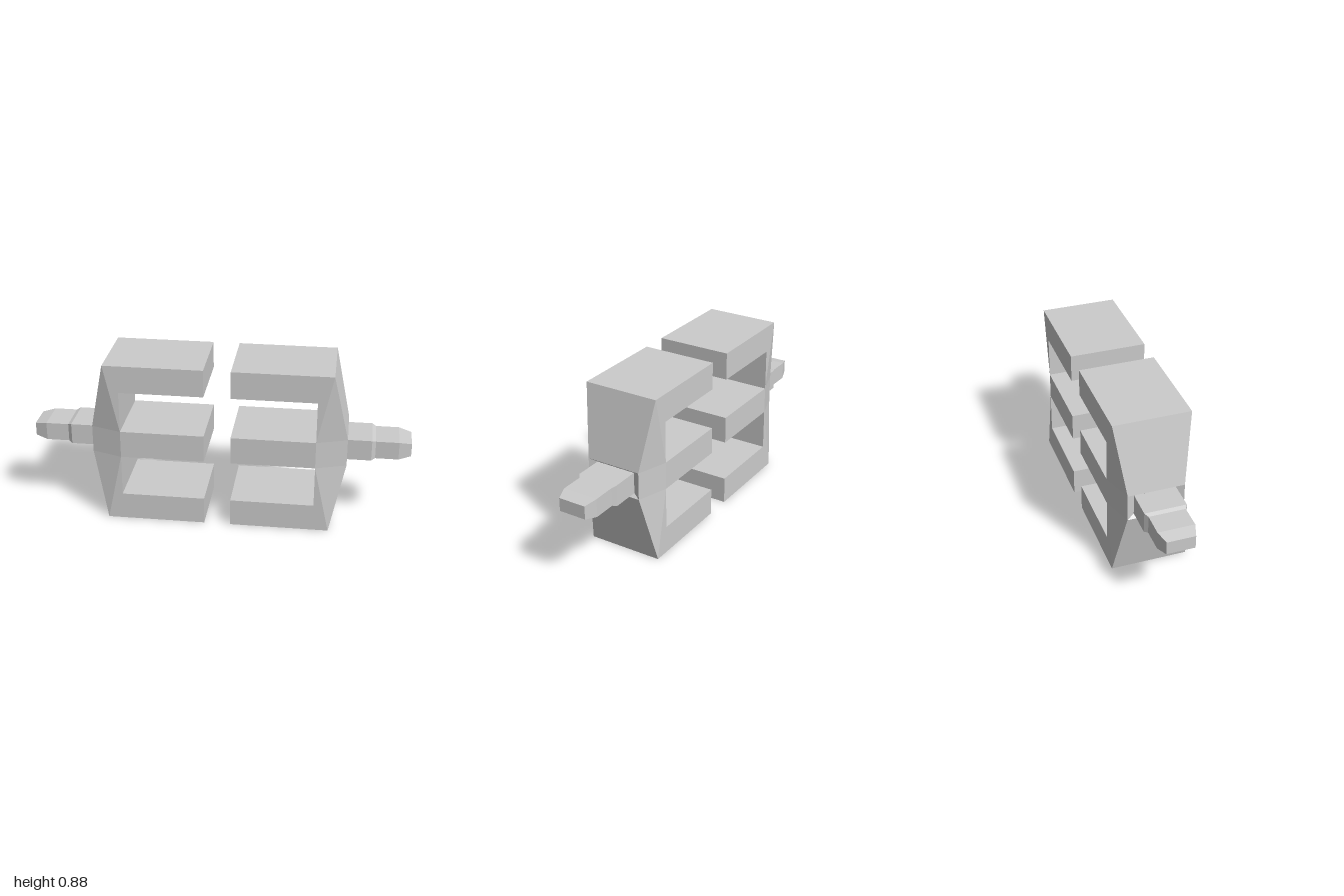
import * as THREE from 'three';

const material = new THREE.MeshStandardMaterial({ color: 0xcccccc, flatShading: true });

const MID = 0.441;              // height of the symmetry plane
const H = 0.441, W = 0.2;       // half height and half depth of the body
const h = 0.073, n = 0.147;     // half height and half depth of the spine's outer face
const GAP = 0.07, INNER = 0.51, EDGE = 0.59, OUTER = 0.67;

// Mirrors convex faces of a quarter (y > 0, z > 0) over both planes
function mirrorQuarter(name, faces) {
  const positions = [];
  for (const sy of [1, -1]) for (const sz of [1, -1]) for (const face of faces) {
    const ring = face.map(([x, y, z]) => [x, y * sy, z * sz]);
    if (sy * sz < 0) ring.reverse();
    for (let i = 1; i < ring.length - 1; i++) positions.push(...ring[0], ...ring[i], ...ring[i + 1]);
  }
  const geometry = new THREE.BufferGeometry();
  geometry.setAttribute('position', new THREE.Float32BufferAttribute(positions, 3));
  geometry.computeVertexNormals();
  const mesh = new THREE.Mesh(geometry, material);
  mesh.name = name;
  mesh.position.y = MID;
  return mesh;
}

// Quarter faces through rectangular sections [x, half height, half depth]
function loftFaces(sections) {
  const faces = [];
  for (let i = 1; i < sections.length; i++) {
    const [x0, y0, z0] = sections[i - 1], [x1, y1, z1] = sections[i];
    faces.push([[x0, y0, 0], [x0, y0, z0], [x1, y1, z1], [x1, y1, 0]]);
    faces.push([[x0, y0, z0], [x0, 0, z0], [x1, 0, z1], [x1, y1, z1]]);
  }
  return faces;
}

function createHalf(name) {
  const half = new THREE.Group();
  half.name = name;

  // three prongs
  const names = ['lowerProng', 'middleProng', 'upperProng'];
  names.forEach((prongName, i) => {
    const prong = new THREE.Mesh(new THREE.BoxGeometry(INNER - GAP, 2 * h, 2 * W), material);
    prong.name = prongName;
    prong.position.set((INNER + GAP) / 2, MID + (i - 1) * (H - h), 0);
    half.add(prong);
  });

  // spine: sides fold inwards from the prongs to the narrow outer face, which has a sunken socket
  half.add(mirrorQuarter('spine', [
    [[INNER, H, W], [INNER, h, W], [EDGE, H, W]],
    [[EDGE, H, W], [INNER, h, W], [OUTER, h, n]],
    [[INNER, h, W], [INNER, 0, W], [OUTER, 0, n], [OUTER, h, n]],
    [[INNER, H, 0], [INNER, H, W], [EDGE, H, W], [EDGE, H, 0]],
    [[EDGE, H, 0], [EDGE, H, W], [OUTER, h, n], [OUTER, h, 0]],
    [[INNER, h, 0], [INNER, h, W], [INNER, H, W], [INNER, H, 0]],
    ...loftFaces([[OUTER, h, n], [0.65, 0.056, 0.108]]),
  ]));

  // stepped pin with a tapered tip
  half.add(mirrorQuarter('pin', [
    ...loftFaces([
      [0.65, 0.056, 0.108], [0.795, 0.056, 0.108], [0.815, 0.048, 0.094],
      [0.935, 0.048, 0.094], [1, 0.035, 0.073],
    ]),
    [[1, 0, 0], [1, 0.035, 0], [1, 0.035, 0.073], [1, 0, 0.073]],
  ]));
  return half;
}

export function createModel() {
  const model = new THREE.Group();
  model.name = 'forkedPair';
  const left = createHalf('leftHalf');
  const right = createHalf('rightHalf');
  right.rotation.y = Math.PI;
  model.add(left, right);
  return model;
}
